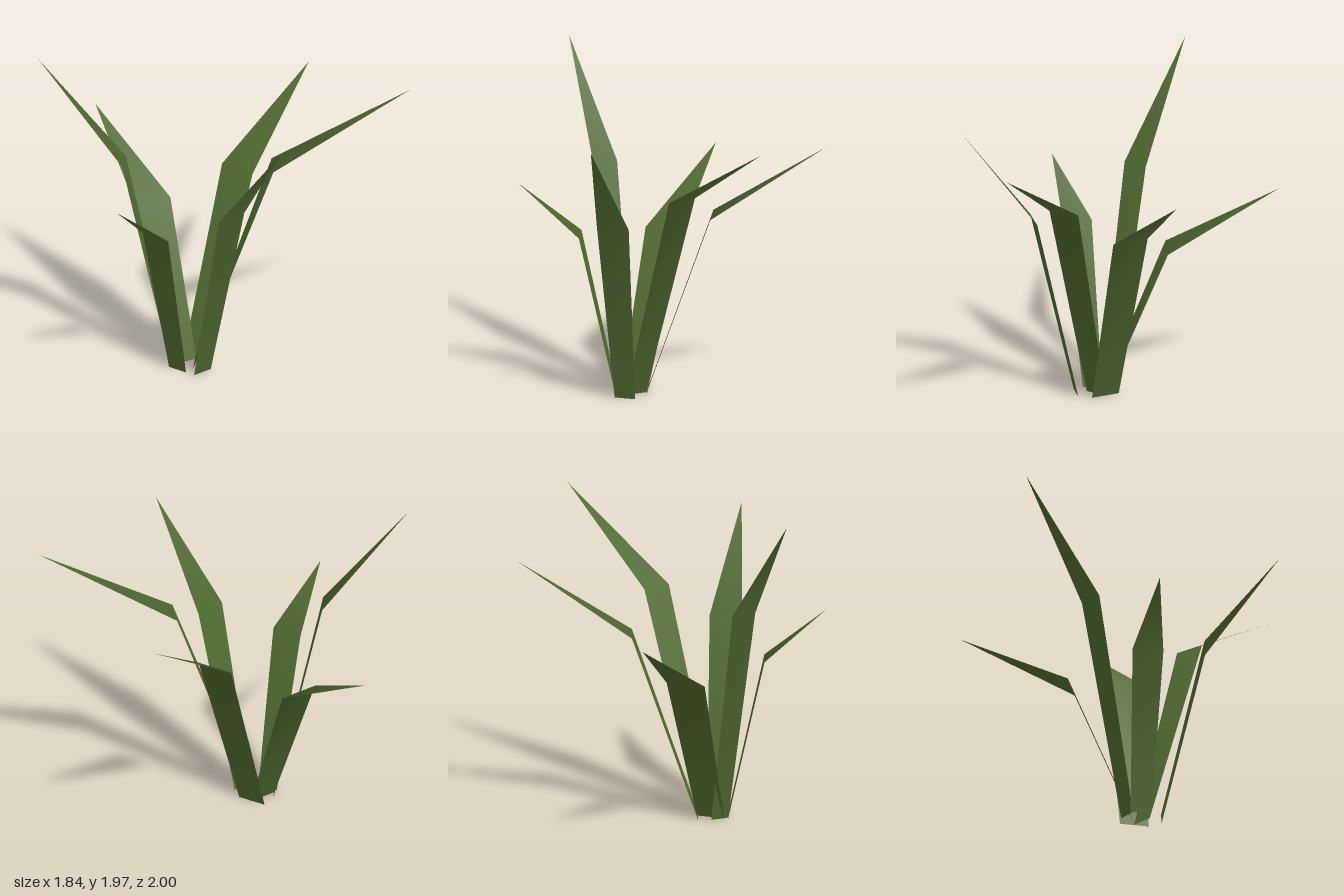
import * as THREE from 'three';

// One flat blade: a long quad from base to bend, then a triangle to the tip
function makeLeaf(name, { base, bendHeight, bend, tip }, material) {
  const points = [
    [base[0][0], 0, base[0][1]], [base[1][0], 0, base[1][1]],
    [bend[0][0], bendHeight, bend[0][1]], [bend[1][0], bendHeight, bend[1][1]],
    tip,
  ];
  const geometry = new THREE.BufferGeometry();
  geometry.setAttribute('position', new THREE.Float32BufferAttribute(points.flat(), 3));
  geometry.setIndex([0, 1, 3, 0, 3, 2, 2, 3, 4]);
  geometry.computeVertexNormals();
  const mesh = new THREE.Mesh(geometry, material);
  mesh.name = name;
  return mesh;
}

// Base and bend corners are [x, z] pairs; tips are [x, y, z]
const LEAVES = {
  leftLeaf: {
    base: [[-0.155, 0.07], [-0.155, -0.105]], bendHeight: 1.11,
    bend: [[0.235, 0.115], [0.235, -0.11]], tip: [0.915, 1.55, 0.025],
  },
  rightLeaf: {
    base: [[-0.335, -0.08], [-0.335, 0.045]], bendHeight: 0.965,
    bend: [[-0.55, -0.115], [-0.55, 0.072]], tip: [-0.92, 1.27, -0.03],
  },
  frontRightLeaf: {
    base: [[-0.335, 0.105], [-0.21, 0.135]], bendHeight: 1.12,
    bend: [[-0.42, 0.35], [-0.227, 0.395]], tip: [-0.418, 1.705, 0.805],
  },
  frontLeftLeaf: {
    base: [[-0.27, 0.05], [-0.16, -0.02]], bendHeight: 1.3,
    bend: [[0.015, 0.43], [0.16, 0.31]], tip: [0.612, 1.775, 0.995],
  },
  backLeftLeaf: {
    base: [[-0.15, -0.015], [-0.31, -0.08]], bendHeight: 0.9,
    bend: [[0.03, -0.34], [-0.195, -0.43]], tip: [0.175, 1.265, -1.0],
  },
  backRightLeaf: {
    base: [[-0.235, -0.115], [-0.335, -0.065]], bendHeight: 1.32,
    bend: [[-0.36, -0.38], [-0.495, -0.305]], tip: [-0.68, 1.97, -0.79],
  },
};

export function createModel() {
  const group = new THREE.Group();
  group.name = 'plant';
  const leafGreen = new THREE.MeshStandardMaterial({ color: 0x4f6b30, side: THREE.DoubleSide });
  leafGreen.name = 'leafGreen';
  for (const [name, leaf] of Object.entries(LEAVES)) group.add(makeLeaf(name, leaf, leafGreen));
  return group;
}
